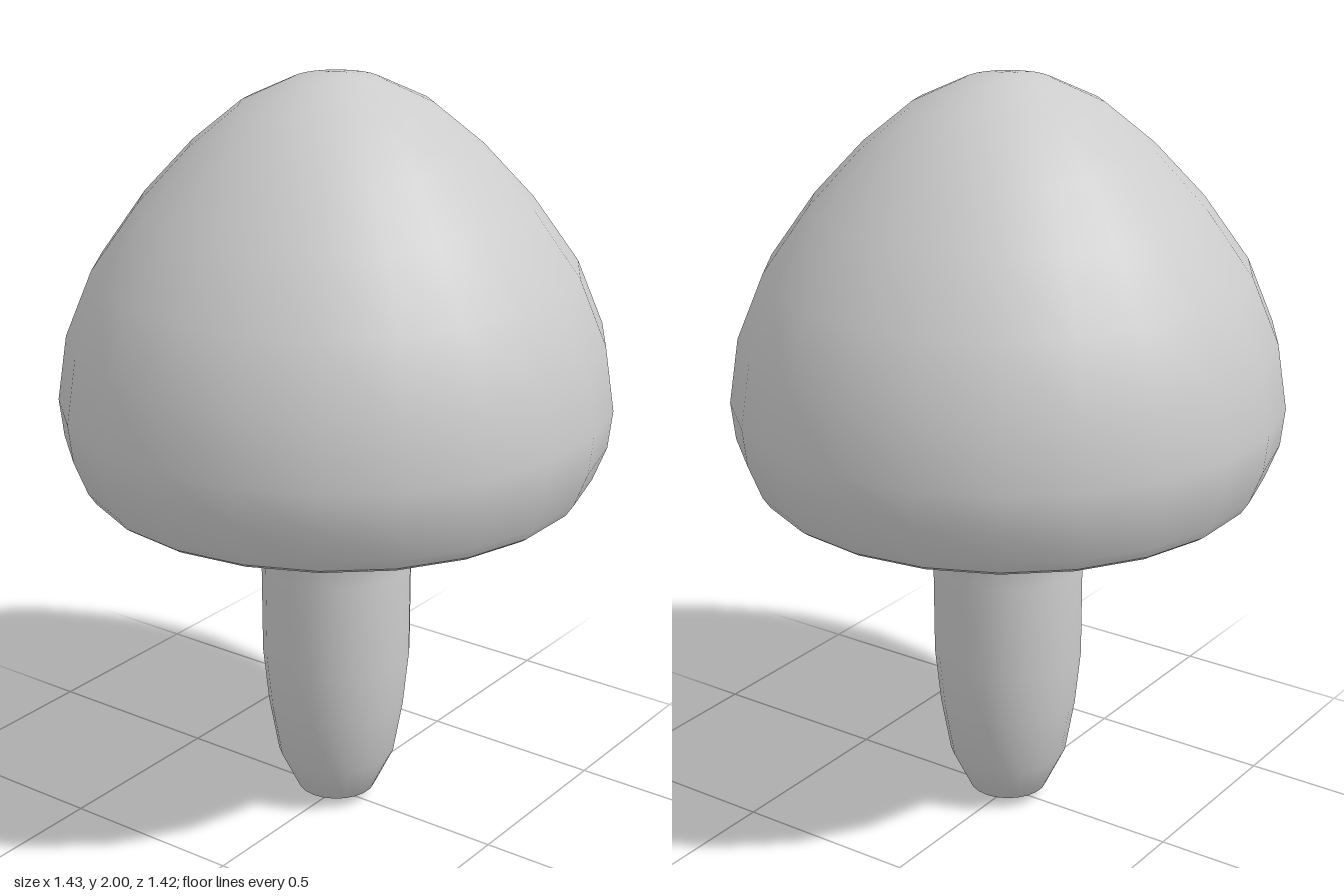
import * as THREE from 'three';

const SIDES = 22;

// Revolve a [radius, height] profile, listed so the surface faces outward
function revolve(name, profile, material) {
  const points = profile.map(([r, y]) => new THREE.Vector2(r, y));
  const geometry = new THREE.LatheGeometry(points, SIDES, Math.PI / 2);
  const mesh = new THREE.Mesh(geometry, material);
  mesh.name = name;
  return mesh;
}

export function createModel() {
  const group = new THREE.Group();
  group.name = 'mushroom';

  const grey = new THREE.MeshStandardMaterial({ color: 0xcccccc });
  grey.name = 'plain grey';

  // Domed cap, rim to crown
  group.add(revolve('cap', [
    [0.65, 0.95], [0.67, 0.98], [0.705, 1.07], [0.716, 1.17], [0.69, 1.34],
    [0.62, 1.51], [0.5, 1.68], [0.37, 1.82], [0.243, 1.925], [0.11, 1.988],
    [0.03, 2], [0, 2],
  ], grey));

  // Flat underside with a narrow bevel at the rim
  group.add(revolve('capUnderside', [
    [0.45, 0.939], [0.55, 0.939], [0.635, 0.939], [0.65, 0.95],
  ], grey));

  // Stem with rounded foot, flaring into the underside
  group.add(revolve('stem', [
    [0, 0], [0.06, 0.006], [0.105, 0.03], [0.158, 0.14], [0.184, 0.29],
    [0.199, 0.44], [0.2, 0.7], [0.19, 0.885], [0.31, 0.936], [0.45, 0.939],
  ], grey));

  return group;
}
